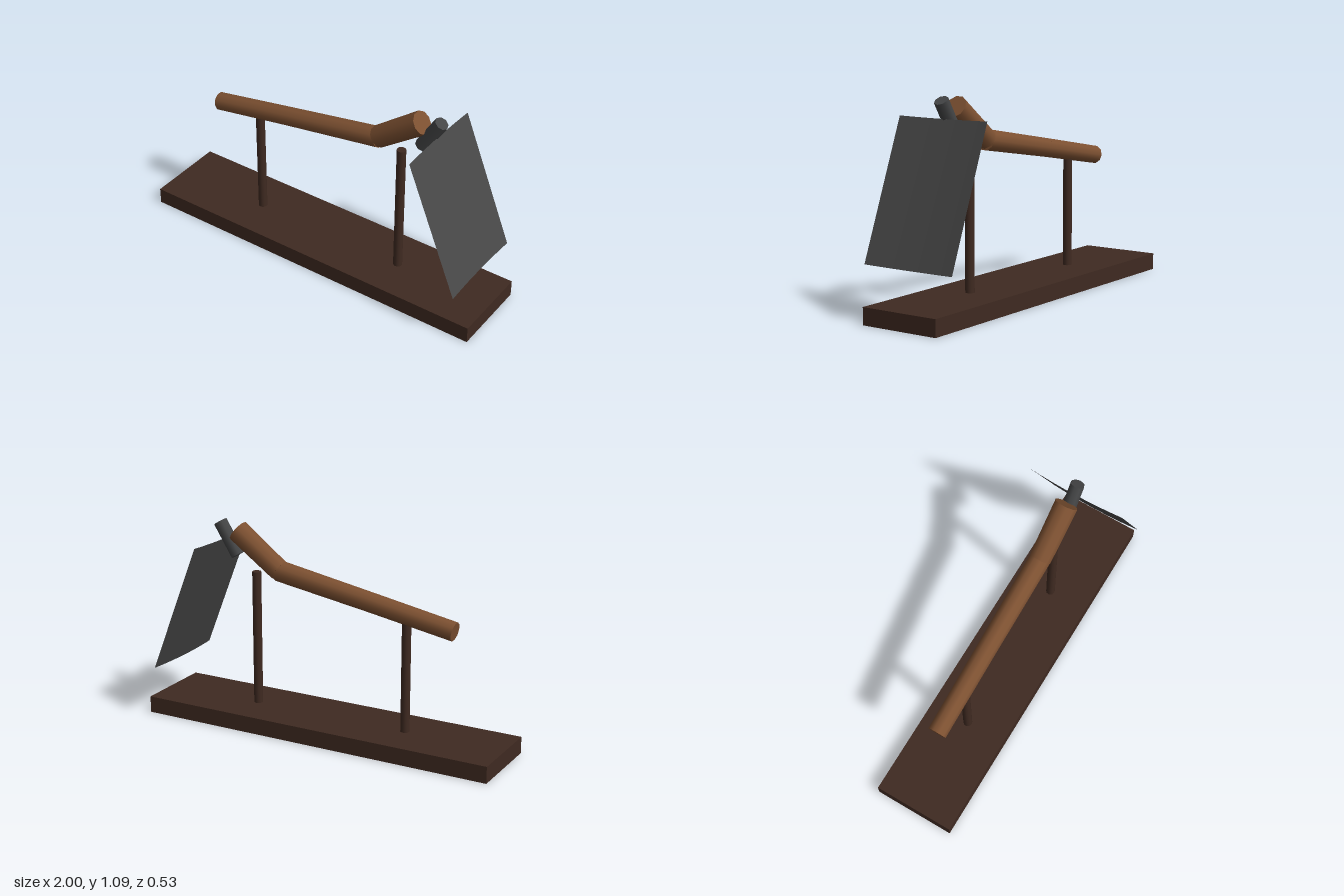
import * as THREE from 'three';

const darkWood = new THREE.MeshStandardMaterial({ color: 0x3f2a21 });
darkWood.name = 'dark wood';
const wood = new THREE.MeshStandardMaterial({ color: 0x7c5031 });
wood.name = 'brown wood';
const metal = new THREE.MeshStandardMaterial({ color: 0x444546 });
metal.name = 'dark grey metal';
const sheetGrey = new THREE.MeshStandardMaterial({ color: 0x484848, side: THREE.DoubleSide });
sheetGrey.name = 'sheet grey';

// Cylinder between two points in the z = 0 plane
function rod(name, [x0, y0], [x1, y1], r0, r1, sides, material) {
  const length = Math.hypot(x1 - x0, y1 - y0);
  const mesh = new THREE.Mesh(new THREE.CylinderGeometry(r1, r0, length, sides), material);
  mesh.position.set((x0 + x1) / 2, (y0 + y1) / 2, 0);
  mesh.rotation.z = Math.atan2(y1 - y0, x1 - x0) - Math.PI / 2;
  mesh.name = name;
  return mesh;
}

export function createModel() {
  const model = new THREE.Group();
  model.name = 'mountedPipe';

  // Base board
  const base = new THREE.Mesh(new THREE.BoxGeometry(2, 0.09, 0.443), darkWood);
  base.position.y = 0.045;
  base.name = 'base';
  model.add(base);

  // Support posts
  model.add(rod('rearPost', [-0.445, 0.08], [-0.445, 0.69], 0.024, 0.024, 12, darkWood));
  model.add(rod('frontPost', [0.44, 0.08], [0.44, 0.825], 0.024, 0.024, 12, darkWood));

  // Bent handle made of three tapering lengths
  model.add(rod('rearHandle', [-0.712, 0.672], [-0.23, 0.757], 0.05, 0.052, 10, wood));
  model.add(rod('middleHandle', [-0.235, 0.756], [0.307, 0.848], 0.052, 0.056, 10, wood));
  model.add(rod('frontHandle', [0.302, 0.85], [0.552, 1.032], 0.058, 0.062, 10, wood));

  // Clamp at the tip
  model.add(rod('clamp', [0.555, 0.9], [0.662, 1.07], 0.037, 0.037, 8, metal));

  // Hanging sheet, bowed slightly inward across its width
  const geometry = new THREE.PlaneGeometry(0.534, 0.754, 10, 1);
  const p = geometry.attributes.position;
  for (let i = 0; i < p.count; i++) {
    p.setZ(i, -0.01 * (1 - (p.getX(i) / 0.267) ** 2));
  }
  geometry.rotateY(Math.PI / 2);
  geometry.computeVertexNormals();
  const sheet = new THREE.Mesh(geometry, sheetGrey);
  sheet.position.set(0.791, 0.632, 0);
  sheet.rotation.z = Math.atan2(0.28, 0.7);
  sheet.name = 'sheet';
  model.add(sheet);

  return model;
}
